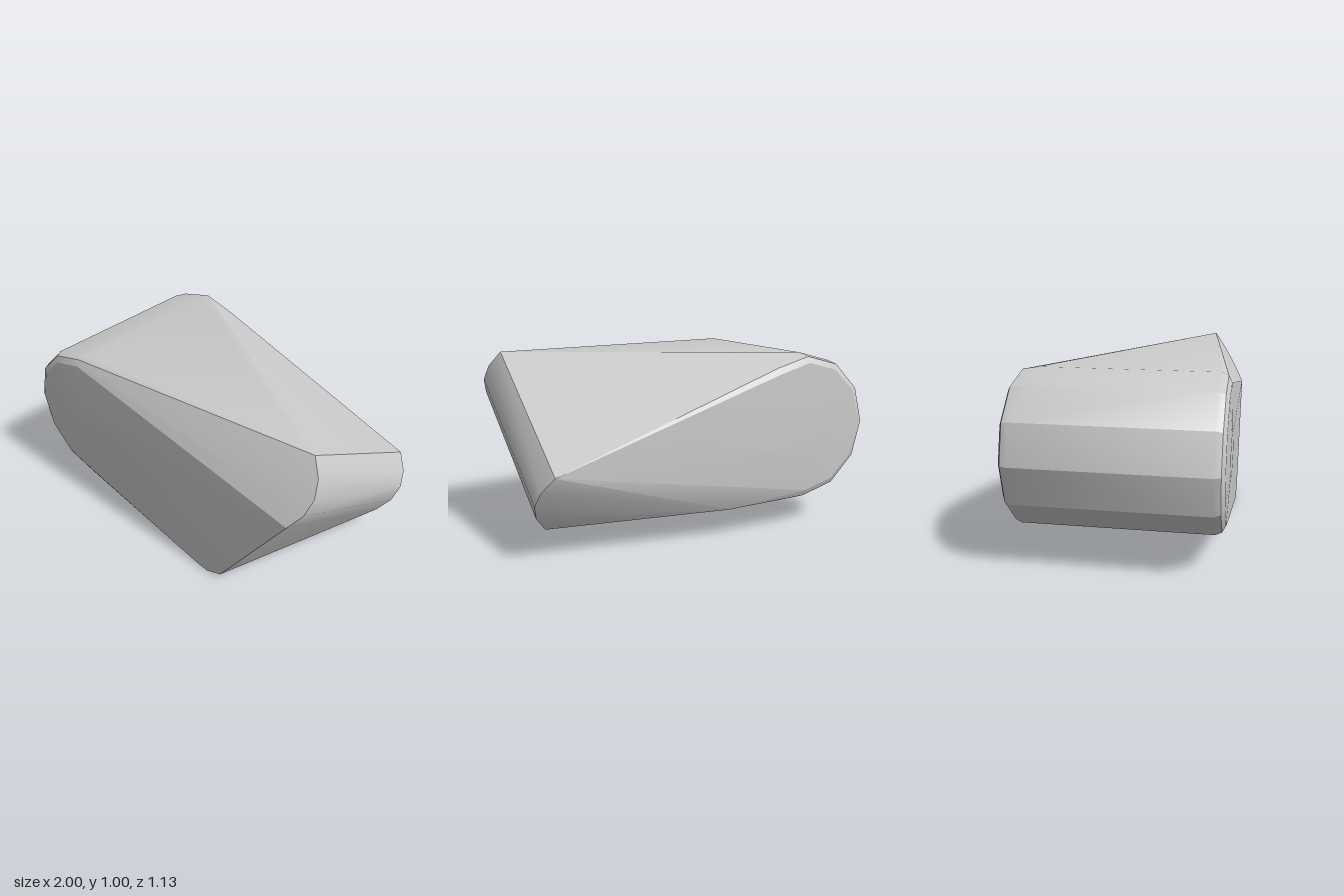
import * as THREE from 'three';
import { ConvexGeometry } from 'three/addons/geometries/ConvexGeometry.js';
import { toCreasedNormals } from 'three/addons/utils/BufferGeometryUtils.js';

export function createModel() {
  const group = new THREE.Group();
  const points = [];
  const add = (x, y, z) => points.push(new THREE.Vector3(x, y, z));

  // Rounded end: 12-sided drum along z, with bevelled rims
  const rings = [[0.42, 0.5], [0.405, 0.535], [0.37, 0.553], [0.12, 0.563]];
  for (const [radius, z] of rings) {
    for (let i = 0; i < 12; i++) {
      const a = (i * Math.PI) / 6;
      const x = -0.58 + radius * Math.cos(a);
      const y = 0.58 + radius * Math.sin(a);
      add(x, y, z);
      // The upper back rim has a wider bevel
      add(x, y, radius === 0.42 && y > 0.9 ? -0.45 : -z);
    }
  }

  // Slanted rounded edge: the same five-point arc at its front and back ends
  const arcX = [0.92, 0.98, 1, 0.98, 0.92];
  arcX.forEach((x, i) => {
    const t = i / 4;
    add(x, 1 - 0.33 * t, 0.36 + 0.19 * t);
    add(x, 0.48 - 0.32 * t, -0.55 + 0.19 * t);
  });

  // Keel along the front underside, and the lower back corner
  for (const [x, y] of [[0.33, 0.008], [0.4, 0], [0.5, 0.04], [0.55, 0.115]]) add(x, y, 0.553);
  add(0.35, 0.004, 0);
  add(0.4, 0, 0);
  add(-0.08, 0.163, -0.53);

  const geometry = toCreasedNormals(new ConvexGeometry(points), 0.42);
  const body = new THREE.Mesh(geometry, new THREE.MeshStandardMaterial({ color: 0xcccccc }));
  body.name = 'facetedBody';
  group.add(body);
  return group;
}
